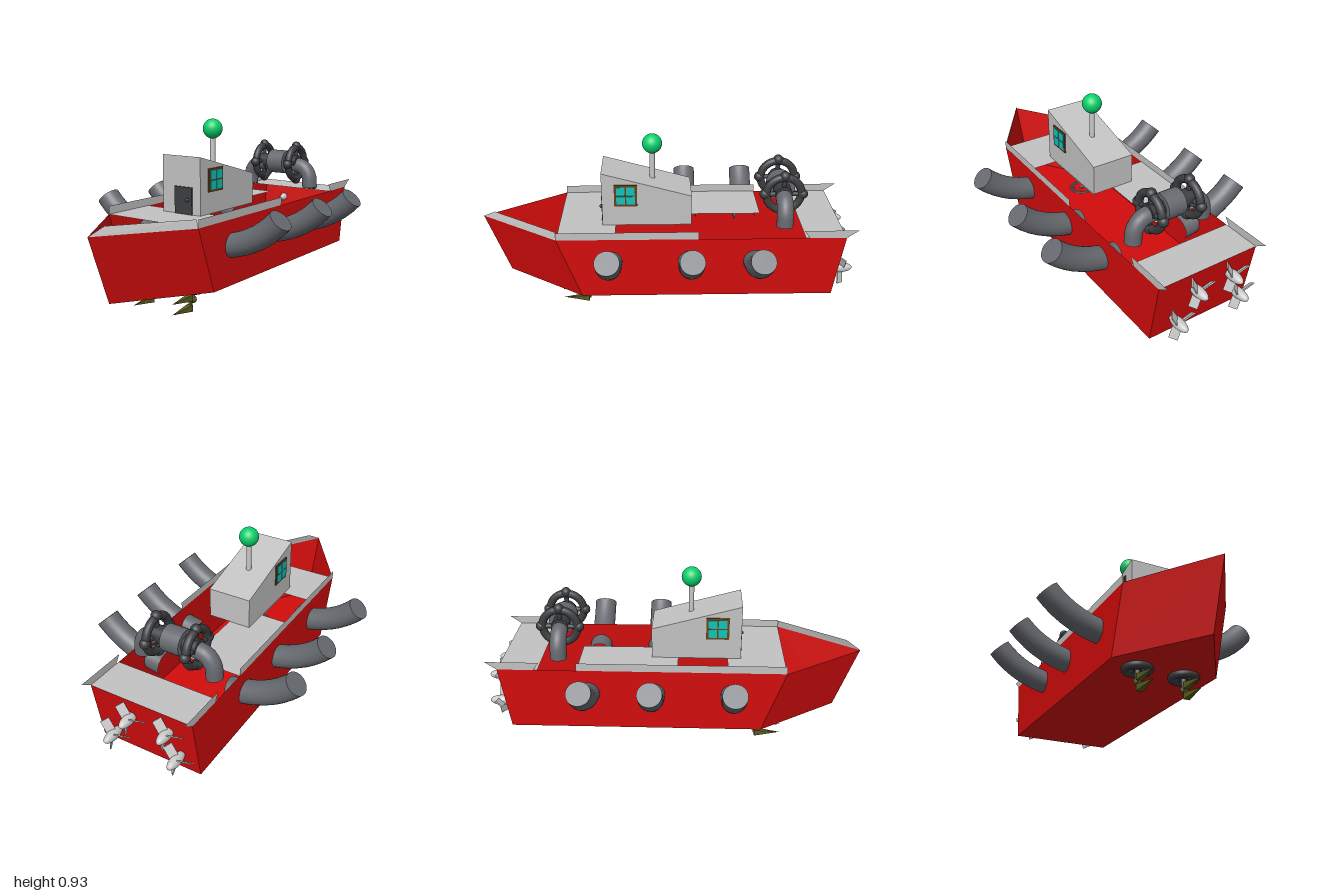
import * as THREE from 'three';

const mat = (name, color, side = THREE.FrontSide) => {
  const m = new THREE.MeshStandardMaterial({ color, side });
  m.name = name;
  return m;
};

export function createModel() {
  const boat = new THREE.Group();
  boat.name = 'boat';
  const red = mat('hull red', 0xd20c0c, THREE.DoubleSide);
  const grey = mat('deck grey', 0xc2c2c2, THREE.DoubleSide);
  const gun = mat('gun grey', 0x66696f);
  const dark = mat('dark iron', 0x3c3d40);
  const green = mat('beacon green', 0x08cf6c);
  const teal = mat('window teal', 0x10c4bc);
  const brown = mat('frame brown', 0x6a3f14);
  const olive = mat('claw olive', 0x5a5c20);
  const silver = mat('propeller silver', 0xc9c9c9, THREE.DoubleSide);

  const add = (name, geo, m, pos = [0, 0, 0], parent = boat) => {
    const mesh = new THREE.Mesh(geo, m);
    mesh.name = name;
    mesh.position.set(...pos);
    parent.add(mesh);
    return mesh;
  };
  const box = (name, w, h, d, m, pos, parent) => add(name, new THREE.BoxGeometry(w, h, d), m, pos, parent);
  // flat polygon fans, one list of corners per face
  const faces = (name, polys, m) => {
    const v = [];
    polys.forEach(p => {
      for (let i = 1; i < p.length - 1; i++) v.push(...p[0], ...p[i], ...p[i + 1]);
    });
    const g = new THREE.BufferGeometry();
    g.setAttribute('position', new THREE.Float32BufferAttribute(v, 3));
    g.computeVertexNormals();
    return add(name, g, m);
  };
  const vec = p => new THREE.Vector3(...p);

  // Open hull: leaning walls around a flat floor
  const W = 0.285, T = 0.47, B = 0.135;
  const top = [[-1, T, 0], [-0.58, T, W], [0.91, T, W], [0.91, T, -W], [-0.58, T, -W]];
  const bottom = [[-0.88, B, 0], [-0.46, B, W], [0.86, B, W], [0.86, B, -W], [-0.46, B, -W]];
  const walls = top.map((p, i) => {
    const j = (i + 1) % top.length;
    return [bottom[i], bottom[j], top[j], p];
  });
  faces('hull', [...walls, bottom.slice().reverse()], red);

  // Deck plates
  const deck = (name, x0, x1, z0, z1) =>
    faces(name, [[[x0, T, z0], [x0, T, z1], [x1, T, z1], [x1, T, z0]]], grey);
  deck('foreDeck', -0.58, -0.28, -W, W);
  deck('midDeck', -0.02, 0.5, -W, 0);
  deck('cabinDeck', -0.28, 0.12, -0.125, 0.125);
  deck('aftDeck', 0.7, 0.91, -W, W);

  // Rim plates along the sides, bow and stern
  const R = 0.512;
  faces('bowRim', [[[-1, T, 0], [-0.58, T, W], [-0.58, R, W - 0.01], [-0.93, R, 0.035]]], grey);
  for (const s of [1, -1]) {
    const end = s > 0 ? 0.15 : 0.5, z = s * W;
    faces('sideRim', [[[-0.58, T, z], [end, T, z], [end, R, z], [-0.58, R, z]]], grey);
    faces('sternRim', [[[0.72, T, z], [0.91, T, z], [0.97, R, z], [0.69, R, z]]], grey);
  }

  // Cabin with a sloping roof
  const side = new THREE.Shape([[-0.35, T], [0.12, T], [0.12, 0.635], [-0.35, 0.765]].map(p => new THREE.Vector2(...p)));
  add('cabin', new THREE.ExtrudeGeometry(side, { depth: 0.24, bevelEnabled: false }), grey, [0, 0, -0.12]);
  for (const s of [1, -1]) {
    box('windowFrame', 0.12, 0.12, 0.008, brown, [-0.225, 0.642, s * 0.122]);
    for (const i of [-1, 1]) for (const j of [-1, 1])
      box('windowPane', 0.045, 0.045, 0.004, teal, [-0.225 + i * 0.026, 0.642 + j * 0.026, s * 0.1265]);
  }
  box('door', 0.008, 0.14, 0.11, dark, [-0.352, 0.54, 0.015]);
  add('doorHandle', new THREE.SphereGeometry(0.01, 12, 8), dark, [-0.36, 0.545, 0.045]);

  // Mast and beacon
  add('mast', new THREE.CylinderGeometry(0.014, 0.014, 0.2, 20), silver, [-0.085, 0.76, 0]);
  add('beacon', new THREE.SphereGeometry(0.052, 32, 20), green, [-0.085, 0.883, 0]);

  // Curved pipe with a closed far end
  const pipe = (name, curve, r, segs, parent) => {
    const g = new THREE.Group();
    g.name = name;
    parent.add(g);
    add(name + 'Tube', new THREE.TubeGeometry(curve, segs, r, 28), gun, [0, 0, 0], g);
    const end = curve.getPoint(1);
    const cap = add(name + 'Cap', new THREE.CircleGeometry(r, 28), gun, end.toArray(), g);
    cap.lookAt(end.clone().add(curve.getTangent(1)));
  };

  // Side cannons
  for (const x of [-0.305, 0.105, 0.445]) for (const s of [1, -1]) {
    const pts = [[x, 0.325, s * 0.2], [x, 0.345, s * 0.42], [x, 0.495, s * 0.558]].map(vec);
    pipe('cannon', new THREE.QuadraticBezierCurve3(...pts), 0.062, 8, boat);
  }

  // Stern winch: drum, hand wheels and bent legs
  const winch = new THREE.Group();
  winch.name = 'winch';
  winch.position.set(0.6, 0.64, 0);
  boat.add(winch);
  const drum = (name, r, l, m) => {
    add(name, new THREE.CylinderGeometry(r, r, l, 28), m, [0, 0, 0], winch).rotation.x = Math.PI / 2;
  };
  drum('drum', 0.069, 0.105, gun);
  drum('axle', 0.045, 0.26, dark);
  for (const s of [1, -1]) {
    const wheel = new THREE.Group();
    wheel.name = 'handWheel';
    wheel.position.z = s * 0.112;
    winch.add(wheel);
    add('wheelRing', new THREE.TorusGeometry(0.092, 0.021, 14, 36), dark, [0, 0, 0], wheel);
    for (let i = 0; i < 4; i++) {
      const a = i * Math.PI / 2;
      add('wheelKnob', new THREE.SphereGeometry(0.027, 16, 12), dark, [0.1 * Math.cos(a), 0.1 * Math.sin(a), 0], wheel);
    }
    for (const a of [0, Math.PI / 2])
      add('wheelSpoke', new THREE.CylinderGeometry(0.013, 0.013, 0.19, 12), dark, [0, 0, 0], wheel).rotation.z = a;
    const pts = [[0, -0.01, s * 0.1], [0, -0.025, s * 0.165], [0, -0.07, s * 0.2], [0, -0.14, s * 0.208]].map(vec);
    pipe('winchLeg', new THREE.CatmullRomCurve3(pts), 0.043, 10, winch);
  }

  // Stern propellers: long hub with three pitched blades
  for (const [z, y] of [[0.065, 0.365], [-0.145, 0.365], [0.17, 0.225], [-0.195, 0.235]]) {
    const prop = new THREE.Group();
    prop.name = 'propeller';
    prop.position.set(0.925, y, z);
    boat.add(prop);
    add('hub', new THREE.SphereGeometry(0.027, 20, 14), silver, [0, 0, 0], prop).scale.x = 2.4;
    for (const deg of [60, 165, 288]) {
      const arm = new THREE.Group();
      arm.name = 'bladeArm';
      arm.rotation.x = -(deg - 90) * Math.PI / 180;
      arm.rotation.x *= -1;
      arm.rotation.x = -arm.rotation.x;
      prop.add(arm);
      box('blade', 0.006, 0.07, 0.045, silver, [0, 0.052, 0], arm).rotation.y = 0.85;
    }
  }

  // Underside turntables with two-pronged claws
  for (const z of [0.122, -0.13]) {
    const claw = new THREE.Group();
    claw.name = 'claw';
    claw.position.set(-0.42, 0, z);
    boat.add(claw);
    add('turntableRing', new THREE.TorusGeometry(0.06, 0.019, 14, 36), dark, [0, 0.12, 0], claw).rotation.x = Math.PI / 2;
    for (const a of [0, Math.PI / 2])
      box('turntableSpoke', 0.12, 0.014, 0.02, dark, [0, 0.122, 0], claw).rotation.y = a;
    add('post', new THREE.CylinderGeometry(0.012, 0.012, 0.08, 14), gun, [0, 0.098, 0], claw);
    add('joint', new THREE.SphereGeometry(0.019, 18, 12), olive, [0.003, 0.058, 0], claw);
    for (const y of [0.073, 0.02]) {
      const prong = new THREE.ConeGeometry(0.024, 0.14, 4);
      prong.rotateY(Math.PI / 4);
      prong.rotateZ(Math.PI / 2);
      const m = add('prong', prong.toNonIndexed(), olive, [-0.09, y, 0], claw);
      m.geometry.computeVertexNormals();
    }
    box('prongLink', 0.012, 0.055, 0.014, olive, [-0.018, 0.046, 0], claw);
  }
  return boat;
}
